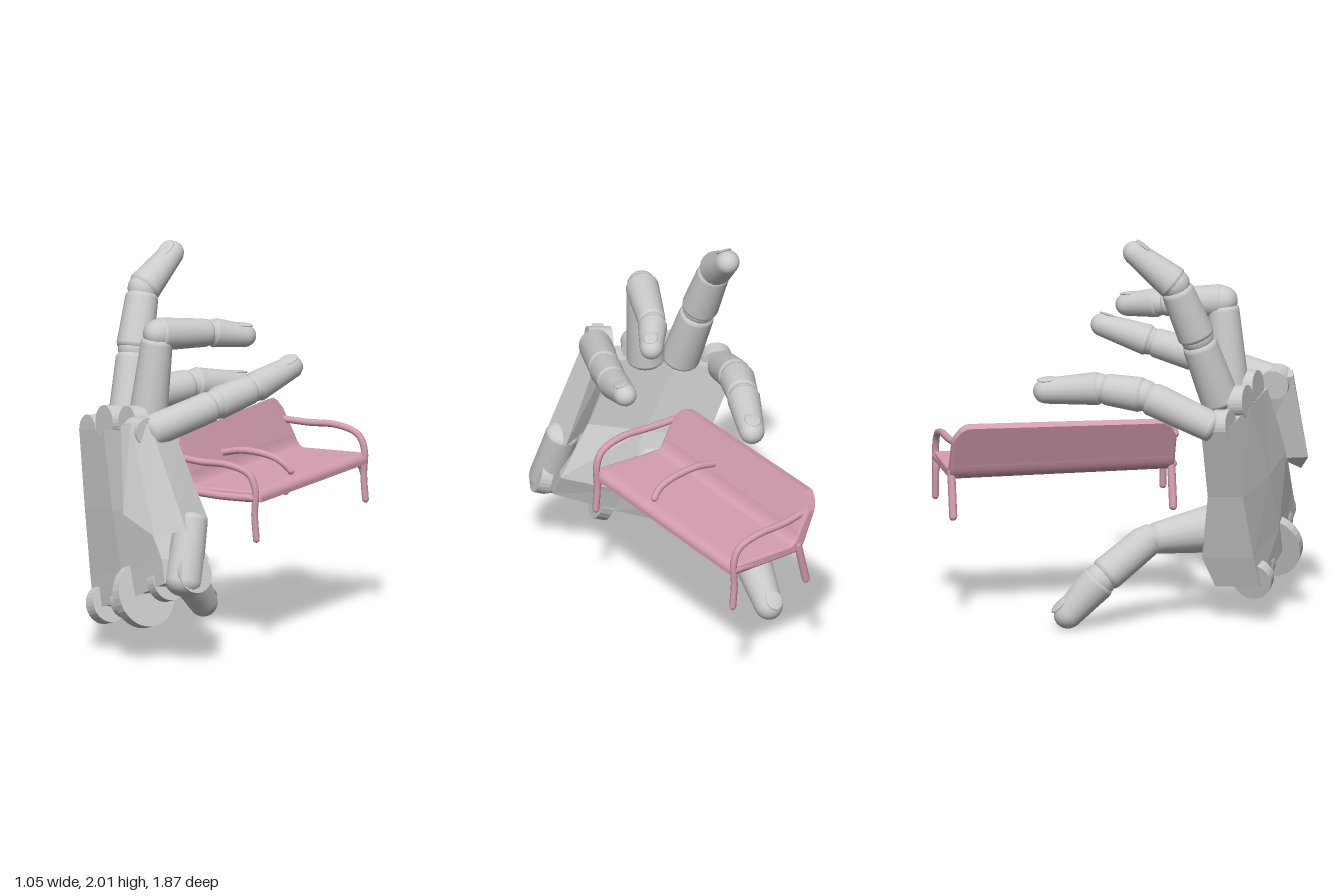
import * as THREE from 'three';

const V = (p) => new THREE.Vector3(...p);
const UP = new THREE.Vector3(0, 1, 0);

export function createModel() {
  const root = new THREE.Group();
  const grey = new THREE.MeshStandardMaterial({ color: 0xcccccc });
  const facet = new THREE.MeshStandardMaterial({ color: 0xcccccc, flatShading: true, side: THREE.DoubleSide });
  const pink = new THREE.MeshStandardMaterial({ color: 0xd69fb0 });

  const add = (parent, name, geometry, material) => {
    const mesh = new THREE.Mesh(geometry, material);
    mesh.name = name;
    parent.add(mesh);
    return mesh;
  };
  const group = (name) => {
    const g = new THREE.Group();
    g.name = name;
    root.add(g);
    return g;
  };

  // Tapered bone from a to b with domed ends; tipStretch makes the far end more pointed
  function bone(parent, name, a, b, ra, rb, tipStretch) {
    const from = V(a), dir = V(b).sub(from), len = dir.length();
    const pts = [];
    const h0 = ra * 0.5, h1 = rb * tipStretch;
    for (let i = 0; i <= 5; i++) {
      const t = (i / 5) * Math.PI / 2;
      pts.push(new THREE.Vector2(ra * Math.sin(t), h0 * (1 - Math.cos(t))));
    }
    for (let i = 0; i <= 7; i++) {
      const t = (i / 7) * Math.PI / 2;
      pts.push(new THREE.Vector2(rb * Math.cos(t), len - h1 + h1 * Math.sin(t)));
    }
    const mesh = add(parent, name, new THREE.LatheGeometry(pts, 18), grey);
    mesh.position.copy(from);
    mesh.quaternion.setFromUnitVectors(UP, dir.normalize());
  }

  // Loops of equal length joined into a closed, faceted solid
  function loft(parent, name, loops) {
    const n = loops[0].length, pos = loops.flat(2), idx = [];
    for (let r = 0; r < loops.length - 1; r++)
      for (let i = 0; i < n; i++) {
        const a = r * n + i, b = r * n + (i + 1) % n;
        idx.push(a, b, b + n, a, b + n, a + n);
      }
    const last = (loops.length - 1) * n;
    for (let i = 1; i < n - 1; i++) idx.push(0, i + 1, i, last, last + i, last + i + 1);
    const g = new THREE.BufferGeometry();
    g.setAttribute('position', new THREE.Float32BufferAttribute(pos, 3));
    g.setIndex(idx);
    g.computeVertexNormals();
    add(parent, name, g, facet);
  }

  function disc(parent, name, c, r, w, axis) {
    const m = add(parent, name, new THREE.CylinderGeometry(r, r, w, 28), facet);
    m.position.set(...c);
    m.quaternion.setFromUnitVectors(UP, V(axis).normalize());
  }

  // Fingers: joint positions, radii, and the way each nail faces
  const fingers = {
    indexFinger: [[[-0.44, 1.06, 0.36], [-0.28, 1.22, 0.01], [-0.17, 1.24, -0.2], [-0.01, 1.2, -0.51]],
      [0.08, 0.09, 0.085, 0.066], [-0.1, 1, 0]],
    middleFinger: [[[-0.22, 1.12, 0.43], [-0.25, 1.5, 0.29], [-0.265, 1.79, 0.17], [-0.185, 1.985, -0.07]],
      [0.1, 0.095, 0.088, 0.062], [0, 1, 0.3]],
    ringFinger: [[[-0.07, 1.13, 0.5], [-0.02, 1.63, 0.47], [0.13, 1.6, 0.17], [0.28, 1.56, -0.02]],
      [0.1, 0.085, 0.075, 0.06], [0.1, 1, 0]],
    littleFinger: [[[0.06, 1.17, 0.77], [0.27, 1.28, 0.39], [0.38, 1.34, 0.17], [0.49, 1.43, -0.11]],
      [0.085, 0.085, 0.08, 0.06], [0.3, 1, 0]],
    thumb: [[[-0.12, 0.48, 0.5], [-0.18, 0.44, 0.05], [-0.22, 0.25, -0.21], [-0.2, 0.02, -0.42]],
      [0.13, 0.085, 0.095, 0.075], [0, 0.6, -0.8]],
  };
  for (const [name, [p, r, face]] of Object.entries(fingers)) {
    const g = group(name);
    ['proximalSegment', 'middleSegment', 'fingertip'].forEach((part, i) => {
      const a = V(p[i]), b = V(p[i + 1]);
      // slight overlap into each knuckle
      const start = a.clone().lerp(b, i ? -0.08 : 0).toArray();
      bone(g, part, start, p[i + 1], r[i], i === 2 ? r[3] : r[i + 1] * 0.96, i === 2 ? 1.1 : 0.6);
    });
    [1, 2].forEach((i) => {
      const m = add(g, 'knuckle', new THREE.SphereGeometry(r[i] * 0.9, 16, 10), grey);
      m.position.set(...p[i]);
    });
    // Nail plate laid on the outer side of the tip
    const tip = V(p[3]), back = V(p[2]).sub(tip).normalize();
    const out = V(face).addScaledVector(back, -V(face).dot(back)).normalize();
    const nail = add(g, 'nail', new THREE.SphereGeometry(1, 14, 8), grey);
    nail.scale.set(r[3] * 0.65, r[3] * 0.14, 0.055);
    const side = new THREE.Vector3().crossVectors(out, back);
    nail.quaternion.setFromRotationMatrix(new THREE.Matrix4().makeBasis(side, out, back));
    nail.position.copy(tip).addScaledVector(back, 0.08).addScaledVector(out, r[3] * 0.94);
  }

  // Palm: curved back of the hand, thicker toward the wrist
  const palm = group('palm');
  const inward = V([0.52, -0.08, -0.85]);
  const section = (outer, depth) => [
    ...outer,
    ...outer.map((p) => V(p).addScaledVector(inward, depth).toArray()).reverse(),
  ];
  loft(palm, 'palmShell', [
    section([[-0.32, 0.2, 0.6], [-0.04, 0.3, 0.77], [0.25, 0.44, 0.9]], 0.24),
    section([[-0.36, 0.36, 0.56], [-0.08, 0.44, 0.75], [0.22, 0.56, 0.88]], 0.28),
    section([[-0.43, 0.7, 0.49], [-0.17, 0.74, 0.68], [0.08, 0.8, 0.82]], 0.19),
    section([[-0.52, 1.07, 0.38], [-0.29, 1.13, 0.55], [-0.02, 1.16, 0.7]], 0.13),
  ]);
  // Rounded tongues of the back plate between the fingers
  [[-0.43, 1.08, 0.39, 0.08], [-0.27, 1.16, 0.51, 0.085], [-0.09, 1.19, 0.6, 0.085]]
    .forEach(([x, y, z, r]) => disc(palm, 'knuckleTongue', [x, y, z], r, 0.08, inward.toArray()));

  // Separate outer plate carrying the little finger
  loft(palm, 'outerPlate', [
    [[0.02, 0.78, 0.92], [0.2, 0.68, 0.92], [0.33, 0.71, 0.82], [0.35, 0.73, 0.62], [0.15, 0.75, 0.68]],
    [[-0.04, 1.22, 0.83], [0.02, 1.24, 0.84], [0.1, 1.23, 0.78], [0.14, 1.2, 0.62], [0.02, 1.19, 0.64]],
  ]);
  disc(palm, 'outerKnuckle', [0.04, 1.18, 0.76], 0.075, 0.12, [0.85, 0.1, 0.4]);
  bone(palm, 'heelPad', [0.3, 0.78, 0.7], [0.32, 0.37, 0.85], 0.085, 0.095, 0.8);
  const mound = add(palm, 'thumbMound', new THREE.SphereGeometry(1, 20, 14), grey);
  mound.position.set(-0.09, 0.47, 0.48);
  mound.scale.set(0.14, 0.17, 0.11);

  // Wrist hinge discs
  const hinge = [0.85, 0.3, 0.42];
  [[-0.26, 0.23, 0.58, 0.1, 0.07], [-0.11, 0.27, 0.63, 0.09, 0.05], [0.03, 0.33, 0.72, 0.17, 0.06],
    [0.19, 0.42, 0.77, 0.1, 0.06], [0.36, 0.48, 0.81, 0.1, 0.06]]
    .forEach(([x, y, z, r, w]) => disc(palm, 'wristHinge', [x, y, z], r, w, hinge));

  // Bench: one side profile of seat and reclined back, run along z
  const bench = group('bench');
  const profile = new THREE.Shape();
  profile.moveTo(0.43, 0.765);
  profile.lineTo(0.03, 0.765);
  profile.quadraticCurveTo(0.0, 0.78, -0.02, 0.84);
  profile.lineTo(-0.1, 1.04);
  profile.lineTo(-0.075, 1.05);
  profile.lineTo(0.01, 0.87);
  profile.quadraticCurveTo(0.035, 0.795, 0.08, 0.795);
  profile.lineTo(0.38, 0.8);
  profile.quadraticCurveTo(0.43, 0.8, 0.43, 0.765);
  const seatGeo = new THREE.ExtrudeGeometry(profile,
    { depth: 1.14, steps: 40, bevelEnabled: true, bevelSize: 0.01, bevelThickness: 0.012, bevelSegments: 2, curveSegments: 8 });
  seatGeo.translate(0, 0, -0.93);
  // Round the upper corners of the back and let its top rise toward the far end
  const sp = seatGeo.attributes.position;
  for (let i = 0; i < sp.count; i++) {
    const y = sp.getY(i), z = sp.getZ(i);
    if (y < 0.84) continue;
    const end = Math.min(0.222 - z, z + 0.942);
    const corner = 0.4 * Math.max(0, 1 - end / 0.08) ** 2;
    const drop = (y - 0.84) * (corner + 0.1 * (z + 0.94));
    sp.setY(i, y - drop);
    sp.setX(i, sp.getX(i) + drop * 0.4);
  }
  seatGeo.computeVertexNormals();
  add(bench, 'seatAndBack', seatGeo, pink);

  const rod = (name, pts, r) => {
    const curve = new THREE.CatmullRomCurve3(pts.map(V));
    add(bench, name, new THREE.TubeGeometry(curve, 24, r, 8), pink);
    [pts[0], pts[pts.length - 1]].forEach((p) => {
      add(bench, name + 'End', new THREE.SphereGeometry(r, 8, 6), pink).position.set(...p);
    });
  };
  // End frames: front leg flowing into the arm, back leg, rail, and a brace under the seat
  for (const [z, s, legShift] of [[0.25, 1, 0.04], [-0.93, -1, 0]]) {
    rod('armAndFrontLeg', [[0.43, 0.57, z], [0.42, 0.7, z], [0.425, 0.82, z], [0.39, 0.9, z],
      [0.27, 0.94, z], [0.1, 0.94, z - s * 0.01], [-0.04, 0.95, z - s * 0.03]], 0.018);
    rod('backLeg', [[-0.03, 0.57, z - legShift], [0.0, 0.7, z - legShift], [0.02, 0.79, z - legShift]], 0.021);
    rod('sideRail', [[0.02, 0.78, z - s * 0.03], [0.22, 0.775, z - s * 0.01], [0.42, 0.78, z]], 0.02);
    rod('legBrace', [[0.42, 0.68, z], [0.41, 0.74, z - s * 0.015], [0.4, 0.77, z - s * 0.06]], 0.014);
  }
  // Centre arm
  rod('centreArm', [[-0.01, 0.9, -0.19], [0.12, 0.925, -0.19], [0.28, 0.91, -0.19], [0.35, 0.88, -0.19], [0.39, 0.84, -0.2]], 0.018);

  return root;
}
